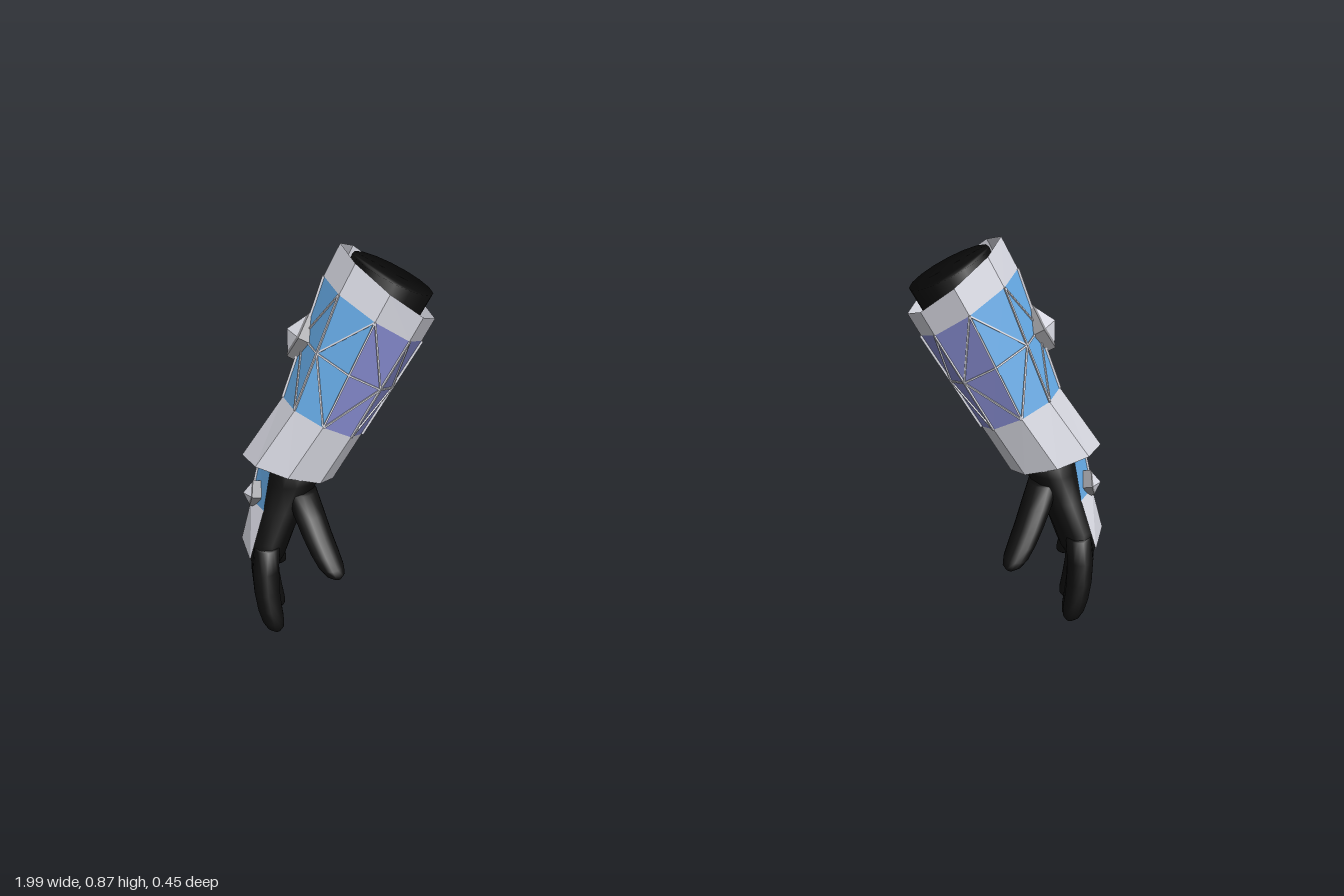
import * as THREE from 'three';

const V = (x, y, z) => new THREE.Vector3(x, y, z);
const material = (name, color, side = THREE.DoubleSide) => {
  const m = new THREE.MeshStandardMaterial({ color, side });
  m.name = name;
  return m;
};

// Skin between cross-sections (arrays of points), optionally closed round and capped
function loft(rings, { closed = true, capped = false, flat = false } = {}) {
  const n = rings[0].length, pos = [], idx = [];
  rings.forEach(r => r.forEach(p => pos.push(p.x, p.y, p.z)));
  for (let i = 0; i < rings.length - 1; i++) {
    for (let j = 0; j < (closed ? n : n - 1); j++) {
      const a = i * n + j, b = i * n + (j + 1) % n;
      idx.push(a, b, b + n, a, b + n, a + n);
    }
  }
  if (capped) {
    const last = (rings.length - 1) * n;
    for (let j = 1; j < n - 1; j++) idx.push(0, j + 1, j, last, last + j, last + j + 1);
  }
  let g = new THREE.BufferGeometry();
  g.setAttribute('position', new THREE.Float32BufferAttribute(pos, 3));
  g.setIndex(idx);
  if (flat) g = g.toNonIndexed();
  g.computeVertexNormals();
  return g;
}

// Elliptical ring spanned by two directions
const ellipse = (c, e1, e2, a, b, n) => Array.from({ length: n }, (_, i) => {
  const t = i / n * Math.PI * 2;
  return c.clone().addScaledVector(e1, a * Math.cos(t)).addScaledVector(e2, b * Math.sin(t));
});
const level = (x, y, z, rx, rz) => ellipse(V(x, y, z), V(1, 0, 0), V(0, 0, 1), rx, rz, 14);

// Thin bar lying on a surface
function strip(p, q, normal, width) {
  const d = q.clone().sub(p), len = d.length();
  d.normalize();
  const side = normal.clone().cross(d).normalize(), n = d.clone().cross(side);
  const m = new THREE.Matrix4().makeBasis(d, side, n).setPosition(p.clone().lerp(q, 0.5));
  return new THREE.BoxGeometry(len, width, 0.006).applyMatrix4(m);
}

// Forearm frame: U along the arm, E1 outward, E2 forward
const U = V(-0.488, 0.833, -0.259), E1 = V(0.863, 0.505, 0), E2 = V(-0.131, 0.2235, 0.965);
// Sleeve stations: centre, outward radius, forward radius, tilt of the rim
const stations = {
  top: [V(0.64, 0.78, -0.108), 0.135, 0.123, 0.03],
  blueTop: [V(0.676, 0.72, -0.09), 0.133, 0.122, 0.018],
  middle: [V(0.738, 0.603, -0.053), 0.1165, 0.109, 0.009],
  blueEnd: [V(0.8, 0.486, -0.015), 0.1, 0.096, 0],
  end: [V(0.885, 0.37, 0.018), 0.105, 0.091, -0.02],
};
const corner = (name, k) => {
  const [c, a, b, tilt] = stations[name], t = k * Math.PI / 4;
  return c.clone().addScaledVector(E1, a * Math.cos(t)).addScaledVector(E2, b * Math.sin(t))
    .addScaledVector(U, tilt * Math.cos(t));
};
const outward = k => E1.clone().multiplyScalar(Math.cos(k * Math.PI / 4))
  .addScaledVector(E2, Math.sin(k * Math.PI / 4));
const span = (name, from, count) => Array.from({ length: count }, (_, i) => corner(name, from + i));

function buildArm(mats) {
  const arm = new THREE.Group();
  const add = (name, geometry, mat) => {
    const m = new THREE.Mesh(geometry, mat);
    m.name = name;
    arm.add(m);
  };

  // Sleeve: grey borders, blue outer half, violet inner half
  const flat = { flat: true }, open = { flat: true, closed: false };
  add('upperBorder', loft(['top', 'blueTop'].map(s => span(s, 0, 8)), flat), mats.grey);
  add('lowerBorder', loft(['blueEnd', 'end'].map(s => span(s, 0, 8)), flat), mats.grey);
  const panel = ['blueTop', 'middle', 'blueEnd'];
  add('outerPanels', loft(panel.map(s => span(s, -2, 5)), open), mats.blue);
  add('innerPanels', loft(panel.map(s => span(s, 2, 5)), open), mats.violet);

  // Seams: along the edges, round the middle and star diagonals
  for (let k = 0; k < 8; k++) {
    const wide = k % 4 === 0 ? 0.01 : 0.004;
    add('lengthSeam', strip(corner('blueTop', k), corner('blueEnd', k), outward(k), wide), mats.grey);
    add('ringSeam', strip(corner('middle', k), corner('middle', k + 1), outward(k + 0.5), 0.004), mats.grey);
    const [a, b] = k % 4 < 2 ? [k, k + 1] : [k + 1, k];
    for (const end of ['blueTop', 'blueEnd']) {
      add('diagonalSeam', strip(corner('middle', a), corner(end, b), outward(k + 0.5), 0.004), mats.grey);
    }
  }

  // Diamond studs: steel rim with a faceted stone
  const stud = (name, c, normal, up, w, h, d) => {
    const n = normal.clone().normalize(), s = up.clone().cross(n).normalize(), v = n.clone().cross(s);
    const ring = (k, lift) => ellipse(c.clone().addScaledVector(n, lift), s, v, w * k, h * k, 4);
    add(name + 'Rim', loft([ring(1, -d * 0.5), ring(1, d * 0.3), ring(0.8, d * 0.4)], flat), mats.steel);
    add(name + 'Stone', loft([ring(0.8, d * 0.4), ring(0.02, d)], flat), mats.grey);
  };
  stud('armStud', corner('middle', 0), E1, U, 0.034, 0.058, 0.04);
  stud('wristStud', V(0.958, 0.33, 0.068), V(0.95, 0.2, 0.2), V(-0.2, 0.97, -0.05), 0.021, 0.034, 0.026);

  // Wrist plate with a ridge, flaring over the back of the hand
  const plateTop = [V(0.91, 0.42, 0.085), V(0.943, 0.41, 0.035), V(0.93, 0.39, -0.022)];
  const plateMid = [V(0.935, 0.305, 0.106), V(0.97, 0.305, 0.05), V(0.958, 0.3, 0.007)];
  const plateEnd = [V(0.965, 0.217, 0.175), V(0.996, 0.217, 0.08), V(0.968, 0.21, -0.02)];
  add('wristPlate', loft([plateTop, plateMid].map(r => r.slice().reverse()), open), mats.blue);
  add('handPlate', loft([plateMid, plateEnd].map(r => r.slice().reverse()), open), mats.grey);
  add('plateSeam', strip(plateTop[1], plateMid[1], V(1, 0.2, 0), 0.006), mats.grey);

  // Forearm inside the sleeve
  add('forearm', loft([
    [V(0.628, 0.797, -0.113), 0.102], [V(0.74, 0.6, -0.052), 0.088], [V(0.872, 0.375, 0.02), 0.068],
  ].map(([c, r]) => ellipse(c, E1, E2, r, r, 16)), { capped: true }), mats.black);

  // Palm
  add('palm', loft([
    level(0.855, 0.41, 0.015, 0.065, 0.07), level(0.872, 0.36, 0.025, 0.067, 0.076),
    level(0.9, 0.3, 0.037, 0.06, 0.085), level(0.927, 0.24, 0.058, 0.055, 0.1),
    level(0.938, 0.19, 0.07, 0.045, 0.1), level(0.94, 0.165, 0.075, 0.03, 0.08),
  ], { capped: true }), mats.black);

  // Fingers and thumb: bent, with rounded tips
  const digit = (name, base, bend, tip, r) => {
    const curve = new THREE.QuadraticBezierCurve3(V(...base), V(...bend), V(...tip));
    const rings = [[0, 1], [0.25, 1.05], [0.5, 1], [0.7, 0.95], [0.86, 0.85], [0.95, 0.65], [1, 0.3]]
      .map(([t, k]) => {
        const p = curve.getPoint(t);
        return level(p.x, p.y, p.z, r * k, r * k);
      });
    add(name, loft(rings, { capped: true }), mats.black);
  };
  digit('indexFinger', [0.93, 0.23, 0.14], [0.945, 0.13, 0.18], [0.915, 0.043, 0.203], 0.029);
  digit('middleFinger', [0.94, 0.22, 0.105], [0.955, 0.1, 0.12], [0.928, 0.002, 0.13], 0.029);
  digit('ringFinger', [0.945, 0.22, 0.055], [0.96, 0.1, 0.06], [0.93, 0.017, 0.068], 0.028);
  digit('littleFinger', [0.94, 0.24, -0.002], [0.955, 0.16, 0], [0.93, 0.085, -0.016], 0.026);
  digit('thumb', [0.85, 0.34, 0.07], [0.82, 0.26, 0.135], [0.768, 0.18, 0.195], 0.034);
  return arm;
}

// Mirror copy across x with the corner order reversed
function mirrored(arm) {
  const other = new THREE.Group();
  for (const part of arm.children) {
    const g = part.geometry.clone().applyMatrix4(new THREE.Matrix4().makeScale(-1, 1, 1));
    const order = g.index ? Array.from(g.index.array)
      : Array.from({ length: g.attributes.position.count }, (_, i) => i);
    for (let i = 0; i < order.length; i += 3) [order[i], order[i + 1]] = [order[i + 1], order[i]];
    g.setIndex(order);
    const m = new THREE.Mesh(g, part.material);
    m.name = part.name;
    other.add(m);
  }
  return other;
}

export function createModel() {
  const mats = {
    grey: material('pale grey', 0xcfd0d9),
    blue: material('sky blue', 0x63a6e0),
    violet: material('violet', 0x8186c8),
    steel: material('steel', 0x8e8e92),
    black: material('black', 0x0d0d0d),
  };
  const model = new THREE.Group();
  model.name = 'armouredGloves';
  const left = buildArm(mats), right = mirrored(left);
  left.name = 'leftGlove';
  right.name = 'rightGlove';
  model.add(left, right);
  return model;
}
